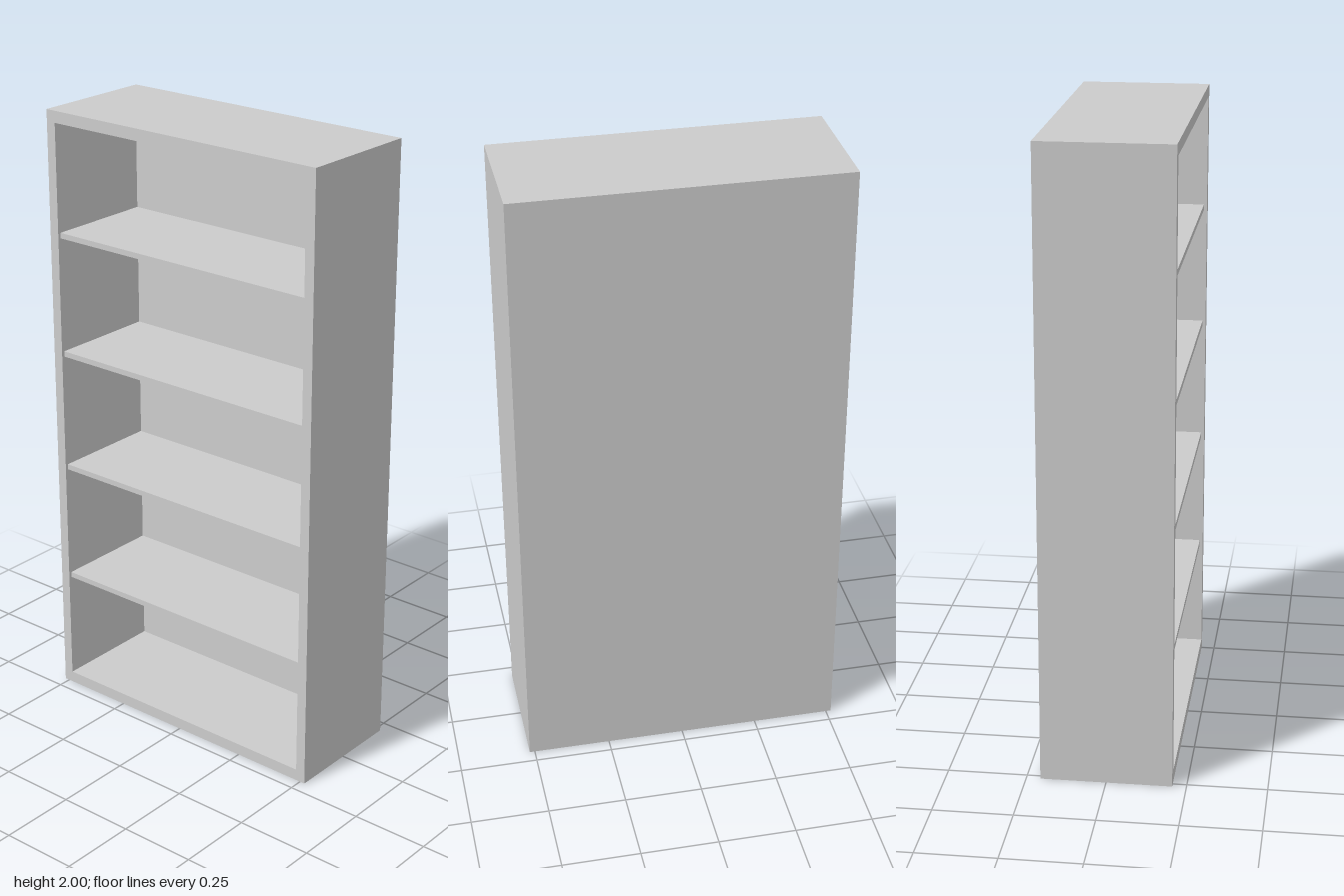
import * as THREE from 'three';

const W = 1.034, H = 2, D = 0.412;        // outer size
const SIDE = 0.033, CAP = 0.038, BACK = 0.04; // board thicknesses
const SHELF = 0.018, RECESS = 0.01;

const material = new THREE.MeshStandardMaterial({ color: 0xcccccc });

function rectangle(PathType, x, y0, y1) {
  const path = new PathType();
  path.moveTo(-x, y0);
  path.lineTo(x, y0);
  path.lineTo(x, y1);
  path.lineTo(-x, y1);
  path.closePath();
  return path;
}

function add(group, name, geometry, x, y, z) {
  const mesh = new THREE.Mesh(geometry, material);
  mesh.name = name;
  mesh.position.set(x, y, z);
  group.add(mesh);
}

export function createModel() {
  const group = new THREE.Group();
  group.name = 'bookcase';

  // Outer frame: sides, top and bottom as one hollow rectangle
  const frame = rectangle(THREE.Shape, W / 2, 0, H);
  frame.holes.push(rectangle(THREE.Path, W / 2 - SIDE, CAP, H - CAP));
  add(group, 'frame', new THREE.ExtrudeGeometry(frame, { depth: D, bevelEnabled: false }), 0, 0, -D / 2);

  // Back panel, closing the frame flush with its rear
  const innerW = W - 2 * SIDE;
  add(group, 'backPanel', new THREE.BoxGeometry(innerW, H - 2 * CAP, BACK), 0, H / 2, -D / 2 + BACK / 2);

  // Four evenly spaced shelves, set slightly behind the front edge
  const shelfDepth = D - BACK - RECESS;
  for (let i = 0; i < 4; i++) {
    add(group, `shelf${i + 1}`, new THREE.BoxGeometry(innerW, SHELF, shelfDepth),
      0, 0.408 + i * 0.397, (BACK - RECESS) / 2);
  }

  return group;
}
